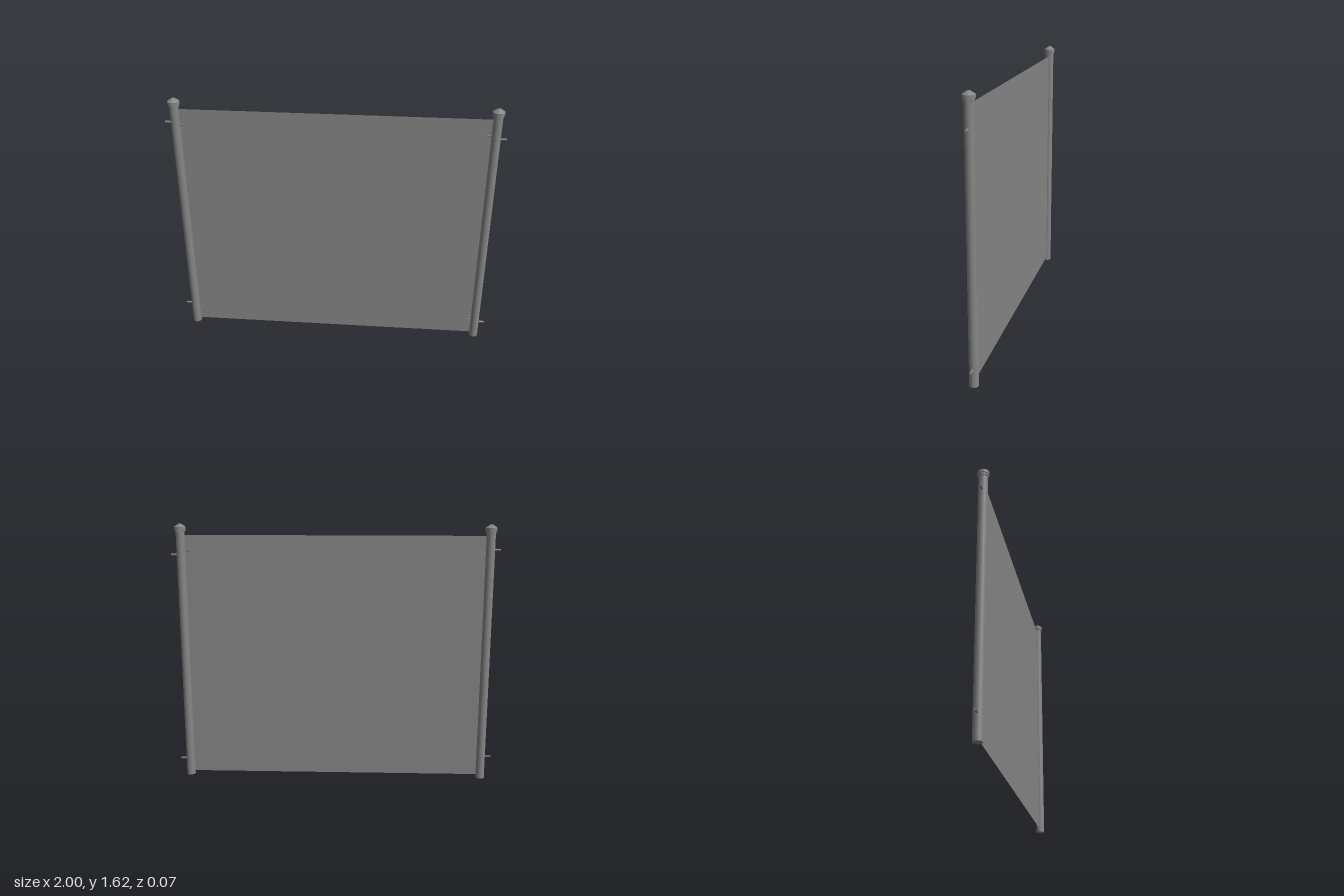
import * as THREE from 'three';

const darkGrey = new THREE.MeshStandardMaterial({ color: 0x868686, side: THREE.DoubleSide });

function add(parent, name, geometry, x, y, z) {
  const mesh = new THREE.Mesh(geometry, darkGrey);
  mesh.name = name;
  mesh.position.set(x, y, z);
  parent.add(mesh);
  return mesh;
}

// Horizontal rod running along x from x0 to x1
function rod(parent, name, x0, x1, y, z, radius) {
  const geometry = new THREE.CylinderGeometry(radius, radius, Math.abs(x1 - x0), 12);
  add(parent, name, geometry, (x0 + x1) / 2, y, z).rotation.z = Math.PI / 2;
}

function buildPost(side) {
  const post = new THREE.Group();
  post.name = side > 0 ? 'leftPost' : 'rightPost';
  const x = side * 0.938;

  add(post, 'postTube', new THREE.CylinderGeometry(0.027, 0.027, 1.57, 32), x, 0.785, 0);

  // Collar, brim and low domed top; doubled points keep the edges crisp
  const profile = [
    [0.027, 1.563], [0.031, 1.565], [0.031, 1.565], [0.031, 1.577], [0.031, 1.577],
    [0.035, 1.578], [0.035, 1.578], [0.035, 1.597], [0.035, 1.597],
    [0.012, 1.613], [0.005, 1.616], [0, 1.617],
  ].map(([r, y]) => new THREE.Vector2(r, y));
  add(post, 'postCap', new THREE.LatheGeometry(profile, 32), x, 0, 0);

  // Upper and lower fittings: outer hinge pin, inner tie and rear studs
  for (const y of [1.448, 0.127]) {
    const pinY = y + (side > 0 ? -0.02 : 0.017);
    rod(post, 'hingePin', x, side, pinY, 0, 0.006);
    rod(post, 'panelTie', side * 0.883, x, y, 0, 0.003);
    for (const dy of [-0.02, 0, 0.018]) {
      add(post, 'rearStud', new THREE.SphereGeometry(0.003, 8, 6), x, y + dy, -0.027);
    }
  }
  return post;
}

export function createModel() {
  const model = new THREE.Group();
  model.name = 'fencePanel';

  // Thin sheet stretched between the posts
  add(model, 'panel', new THREE.PlaneGeometry(1.84, 1.528), 0, 0.784, 0);

  for (const side of [-1, 1]) model.add(buildPost(side));
  return model;
}
